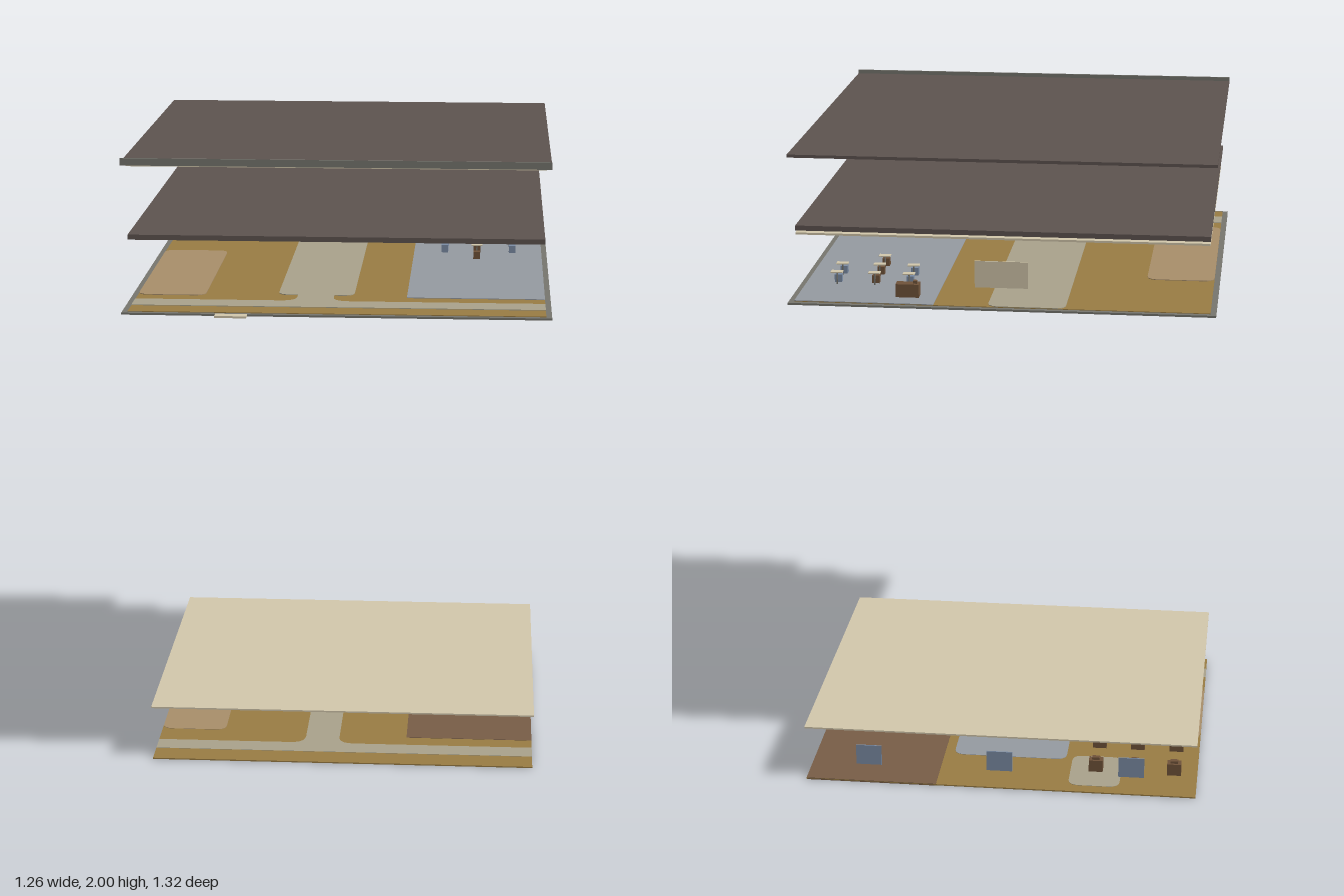
import * as THREE from 'three';

const mat = (name, color) => {
  const m = new THREE.MeshStandardMaterial({ color });
  m.name = name;
  return m;
};

export function createModel() {
  const ochre = mat('ochre floor', 0x9a7d44);
  const stone = mat('pale stone floor', 0xaaa38c);
  const tan = mat('tan floor', 0xa98f6b);
  const blueGrey = mat('blue grey floor', 0x969ba1);
  const brownFloor = mat('brown floor', 0x785e47);
  const roofMat = mat('dark roof', 0x5e5450);
  const cream = mat('cream plaster', 0xd3c8ac);
  const concrete = mat('concrete', 0x77766f);
  const glass = mat('blue panel', 0x7c8da6);
  const wood = mat('wood', 0x70533a);

  const model = new THREE.Group();

  // Box given by its extents on each axis
  const box = (parent, name, m, x0, x1, y0, y1, z0, z1) => {
    const mesh = new THREE.Mesh(new THREE.BoxGeometry(x1 - x0, y1 - y0, z1 - z0), m);
    mesh.position.set((x0 + x1) / 2, (y0 + y1) / 2, (z0 + z1) / 2);
    mesh.name = name;
    parent.add(mesh);
    return mesh;
  };

  // Flat floor zone with rounded corners
  const zone = (parent, name, m, x0, x1, z0, z1, y0, y1, r = 0.035) => {
    const s = new THREE.Shape();
    const a = -z1, b = -z0;
    s.moveTo(x0 + r, a);
    s.lineTo(x1 - r, a);
    s.quadraticCurveTo(x1, a, x1, a + r);
    s.lineTo(x1, b - r);
    s.quadraticCurveTo(x1, b, x1 - r, b);
    s.lineTo(x0 + r, b);
    s.quadraticCurveTo(x0, b, x0, b - r);
    s.lineTo(x0, a + r);
    s.quadraticCurveTo(x0, a, x0 + r, a);
    const g = new THREE.ExtrudeGeometry(s, { depth: y1 - y0, bevelEnabled: false, curveSegments: 5 });
    g.rotateX(-Math.PI / 2);
    const mesh = new THREE.Mesh(g, m);
    mesh.position.y = y0;
    mesh.name = name;
    parent.add(mesh);
  };

  // Walkway along the front, with a flared branch running back to the hall
  const walkway = (parent, zFront, zBack, zHall, y0, y1, half) => {
    const s = new THREE.Shape();
    const f = 0.05, l = -0.13, r = -0.02;
    s.moveTo(-half, -zFront);
    s.lineTo(half, -zFront);
    s.lineTo(half, -zBack);
    s.lineTo(r + f, -zBack);
    s.quadraticCurveTo(r, -zBack, r, -zBack + f);
    s.lineTo(r, -zHall);
    s.lineTo(l, -zHall);
    s.lineTo(l, -zBack + f);
    s.quadraticCurveTo(l, -zBack, l - f, -zBack);
    s.lineTo(-half, -zBack);
    const g = new THREE.ExtrudeGeometry(s, { depth: y1 - y0, bevelEnabled: false, curveSegments: 5 });
    g.rotateX(-Math.PI / 2);
    const mesh = new THREE.Mesh(g, stone);
    mesh.position.y = y0;
    mesh.name = 'walkway';
    parent.add(mesh);
  };

  // Lower level: floor zones showing on both faces
  const lower = new THREE.Group();
  lower.name = 'lowerLevel';
  model.add(lower);
  box(lower, 'lowerFloor', ochre, -0.61, 0.61, 0.001, 0.005, -0.66, 0.36);
  zone(lower, 'brownRoom', brownFloor, 0.2, 0.61, -0.66, 0.15, 0, 0.006, 0.004);
  zone(lower, 'greyHall', blueGrey, -0.19, 0.17, -0.45, -0.1, 0, 0.006);
  zone(lower, 'tanRoom', tan, -0.61, -0.4, -0.25, 0.12, 0, 0.006);
  zone(lower, 'stoneRoom', stone, -0.37, -0.21, -0.62, -0.42, 0, 0.006);
  walkway(lower, 0.28, 0.21, -0.1, 0, 0.006, 0.61);
  box(lower, 'lowerCeiling', cream, -0.612, 0.612, 0.177, 0.182, -0.661, 0.36);

  // Lower level furniture
  for (const z of [-0.51, -0.345]) for (const x of [-0.537, -0.413, -0.29]) {
    box(lower, 'stool', wood, x - 0.022, x + 0.022, 0.006, 0.044, z - 0.015, z + 0.015);
    box(lower, 'stoolTop', wood, x - 0.012, x + 0.012, 0.044, 0.052, z - 0.008, z + 0.008);
  }
  box(lower, 'counter', wood, 0.33, 0.488, 0.006, 0.048, -0.262, -0.192);
  for (const x of [-0.41, 0, 0.41]) {
    box(lower, 'window', glass, x - 0.04, x + 0.04, 0.063, 0.128, -0.66, -0.656);
    for (const z of [0.26, -0.25]) {
      const lamp = new THREE.Mesh(new THREE.SphereGeometry(0.007, 10, 6), concrete);
      lamp.position.set(x, 0.165, z);
      lamp.name = 'lamp';
      lower.add(lamp);
    }
  }

  // Upper level: concrete slab with floor zones on top
  const upper = new THREE.Group();
  upper.name = 'upperLevel';
  model.add(upper);
  box(upper, 'upperSlab', concrete, -0.632, 0.632, 1.536, 1.542, -0.606, 0.63);
  box(upper, 'upperFloor', ochre, -0.615, 0.615, 1.542, 1.544, -0.59, 0.615);
  zone(upper, 'blueGreyRoom', blueGrey, 0.2, 0.615, -0.59, 0.4, 1.542, 1.546, 0.004);
  zone(upper, 'stoneHall', stone, -0.19, 0.04, -0.59, 0.38, 1.542, 1.546);
  zone(upper, 'tanRoom', tan, -0.615, -0.41, -0.25, 0.4, 1.542, 1.546);
  walkway(upper, 0.54, 0.46, 0.38, 1.542, 1.546, 0.615);
  box(upper, 'entranceStep', cream, -0.354, -0.26, 1.537, 1.543, 0.63, 0.66);
  box(upper, 'wallBoard', cream, -0.08, 0.077, 1.6, 1.68, -0.582, -0.578);

  // Upper level seats, each with a small pedestal table behind it
  const seats = [
    [0.405, -0.175, wood], [0.405, -0.275, wood], [0.405, -0.372, wood],
    [0.3, -0.275, glass], [0.3, -0.372, glass],
    [0.52, -0.275, glass], [0.52, -0.372, glass],
  ];
  for (const [x, z, m] of seats) {
    box(upper, 'seat', m, x - 0.011, x + 0.011, 1.546, 1.57, z - 0.011, z + 0.011);
    box(upper, 'tablePost', concrete, x - 0.002, x + 0.002, 1.546, 1.583, z - 0.031, z - 0.027);
    box(upper, 'tableTop', cream, x - 0.018, x + 0.018, 1.583, 1.586, z - 0.041, z - 0.017);
  }
  box(upper, 'desk', wood, 0.252, 0.322, 1.546, 1.586, -0.526, -0.492);
  box(upper, 'deskItem', wood, 0.258, 0.27, 1.586, 1.595, -0.515, -0.503);

  // Middle deck with a cream ceiling below
  box(model, 'middleDeck', roofMat, -0.61, 0.607, 1.757, 1.772, -0.582, 0.612);
  box(model, 'middleCeiling', cream, -0.61, 0.607, 1.745, 1.751, -0.582, 0.41);

  // Roof with a front lip and a cream soffit strip
  box(model, 'roof', roofMat, -0.625, 0.622, 1.979, 1.988, -0.6, 0.625);
  box(model, 'roofLip', concrete, -0.625, 0.622, 1.979, 2, 0.625, 0.631);
  box(model, 'soffit', cream, -0.61, 0.607, 1.975, 1.979, 0.41, 0.62);

  return model;
}
